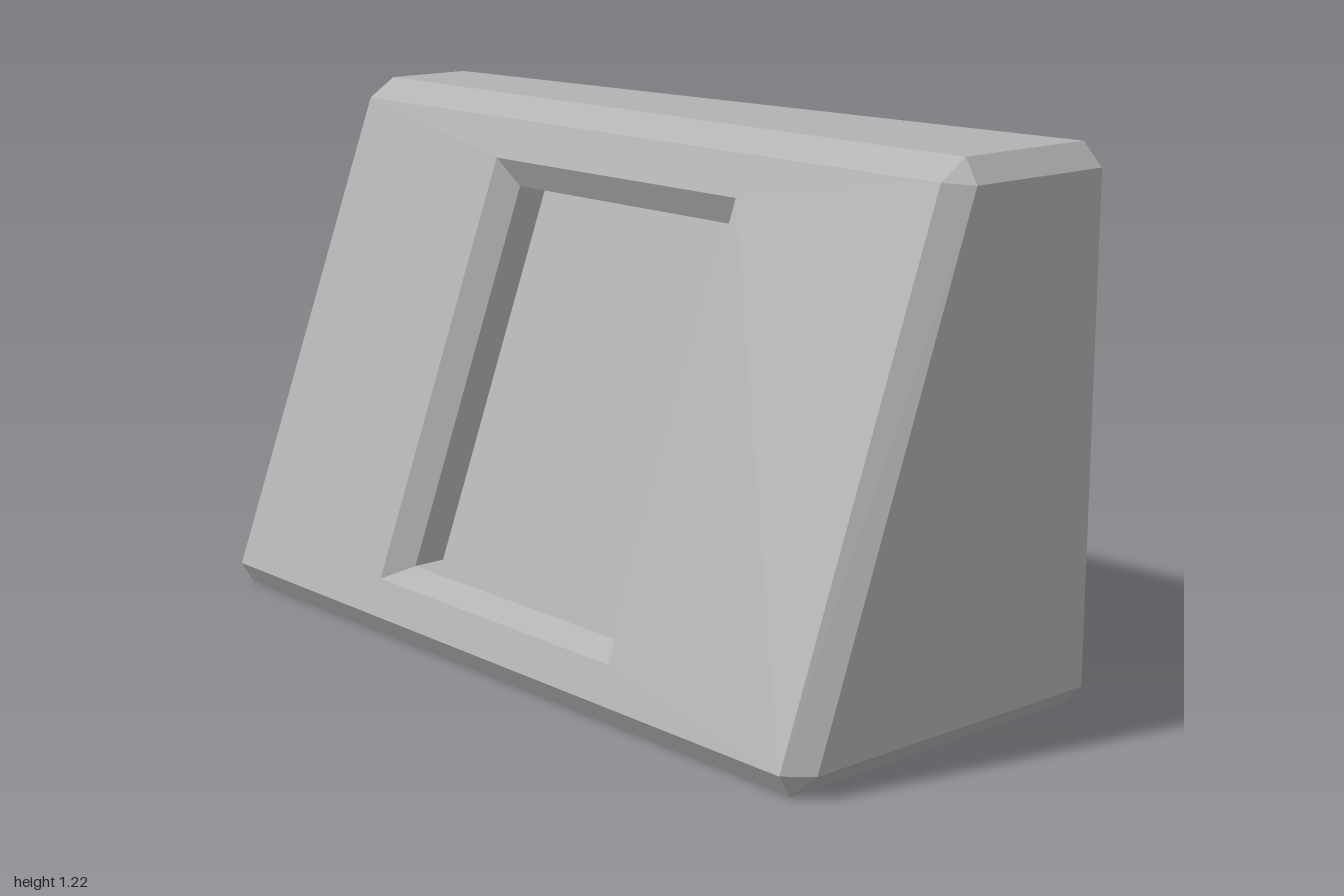
import * as THREE from 'three';

const HALF = 0.95, BEVEL = 0.05;
const TAPER = 0.0737;
const rightX = (z) => 0.38 + TAPER * z;                  // tapered side wall
const slopeX = (y) => -0.45 + (y - 0.05) * 0.375;        // leaning side wall
const HOLE = { y: 0.61, z: 0.61, r: 0.175, depth: 0.38 };
const POCKET = { y0: 0.13, y1: 1.08, z: 0.405, depth: 0.08 };

// Flat-shaded geometry from convex polygons
function facets(polys) {
  const pos = [];
  for (const p of polys)
    for (let i = 1; i < p.length - 1; i++) pos.push(...p[0], ...p[i], ...p[i + 1]);
  const g = new THREE.BufferGeometry();
  g.setAttribute('position', new THREE.Float32BufferAttribute(pos, 3));
  g.computeVertexNormals();
  return g;
}

// Flat shape laid onto a wall by a mapping (s, t) -> [x, y, z]
function panel(shape, map) {
  const g = new THREE.ShapeGeometry(shape, 48);
  const p = g.attributes.position;
  for (let i = 0; i < p.count; i++) p.setXYZ(i, ...map(p.getX(i), p.getY(i)));
  g.computeVertexNormals();
  return g;
}

const polygon = (Type, pts) => new Type(pts.map(([a, b]) => new THREE.Vector2(a, b)));

// Bevelled cross-section and the smaller end face
function section(z) {
  const r = rightX(z);
  return [[-0.42, 0], [-0.45, 0.05], [-0.03, 1.17], [0.04, 1.215],
    [r - BEVEL, 1.215], [r, 1.165], [r, 0.05], [r - BEVEL, 0]].map(([x, y]) => [x, y, z]);
}
function endFace(sign) {
  const r = rightX(sign * HALF) - BEVEL;
  return [[-0.395, 0.05], [0.02, 1.165], [r, 1.165], [r, 0.05]].map(([x, y]) => [x, y, sign]);
}

export function createModel() {
  const model = new THREE.Group();
  const grey = new THREE.MeshStandardMaterial({ color: 0xb2b2b2, side: THREE.DoubleSide });
  const add = (name, geometry) => {
    const mesh = new THREE.Mesh(geometry, grey);
    mesh.name = name;
    model.add(mesh);
  };

  // Top, bottom and long bevels
  const back = section(-HALF), front = section(HALF);
  const shell = [];
  for (const i of [0, 2, 3, 4, 6, 7]) {
    const j = (i + 1) % 8;
    shell.push([back[i], front[i], front[j], back[j]]);
  }
  add('bodyShell', facets(shell));

  // Both ends: face, four bevels and four corner facets
  for (const [name, sign, ring] of [['frontEnd', 1, front], ['backEnd', -1, back]]) {
    const e = endFace(sign);
    const polys = [[...e].reverse()];
    for (let k = 0; k < 4; k++) {
      const n = (k + 1) % 4, i = 2 * k;
      polys.push([ring[i], e[k], ring[i + 1]]);
      polys.push([ring[i + 1], e[k], e[n], ring[(i + 2) % 8]]);
    }
    add(name, facets(sign > 0 ? polys : polys.map((p) => [...p].reverse())));
  }

  // Leaning wall with the pocket opening
  const { y0, y1, z: pz, depth } = POCKET;
  const slope = polygon(THREE.Shape, [[-HALF, 0.05], [HALF, 0.05], [HALF, 1.17], [-HALF, 1.17]]);
  slope.holes.push(polygon(THREE.Path, [[-pz, y0], [-pz, y1], [pz, y1], [pz, y0]]));
  add('leaningWall', panel(slope, (s, t) => [slopeX(t), t, s]));

  // Pocket: bevelled rim, level walls, floor
  const ring = (bx, by, tx, ty, z) => [[bx, by, -z], [bx, by, z], [tx, ty, z], [tx, ty, -z]];
  const b = [slopeX(y0), y0], t = [slopeX(y1), y1];
  const rim = ring(...b, ...t, pz);
  const lip = ring(b[0] + 0.064, b[1] + 0.029, t[0] + 0.029, t[1] - 0.064, pz - BEVEL);
  const floor = lip.map(([x, y, z]) => [x + depth, y, z]);
  const band = (p, q) => p.map((_, i) => [p[i], p[(i + 1) % 4], q[(i + 1) % 4], q[i]]);
  add('pocketRim', facets(band(rim, lip)));
  add('pocketWalls', facets(band(lip, floor)));
  add('pocketFloor', facets([floor]));

  // Tapered wall with two round openings
  const wall = polygon(THREE.Shape, [[-HALF, 0.05], [HALF, 0.05], [HALF, 1.165], [-HALF, 1.165]]);
  for (const s of [-1, 1])
    wall.holes.push(new THREE.Path().absarc(s * HOLE.z, HOLE.y, HOLE.r, 0, Math.PI * 2, true));
  add('taperedWall', panel(wall, (s, y) => [rightX(-s), y, -s]));

  // Blind holes, sheared to follow the tapered wall
  const shear = new THREE.Matrix4().set(1, 0, TAPER, 0.38, 0, 1, 0, 0, 0, 0, 1, 0, 0, 0, 0, 1);
  for (const s of [-1, 1]) {
    const bore = new THREE.CylinderGeometry(HOLE.r, HOLE.r, HOLE.depth, 48, 1, true)
      .rotateZ(-Math.PI / 2).translate(-HOLE.depth / 2, HOLE.y, s * HOLE.z);
    add('holeWall', bore.applyMatrix4(shear));
    const bottom = new THREE.CircleGeometry(HOLE.r, 48)
      .rotateY(Math.PI / 2).translate(-HOLE.depth, HOLE.y, s * HOLE.z);
    add('holeBottom', bottom.applyMatrix4(shear));
  }
  return model;
}
